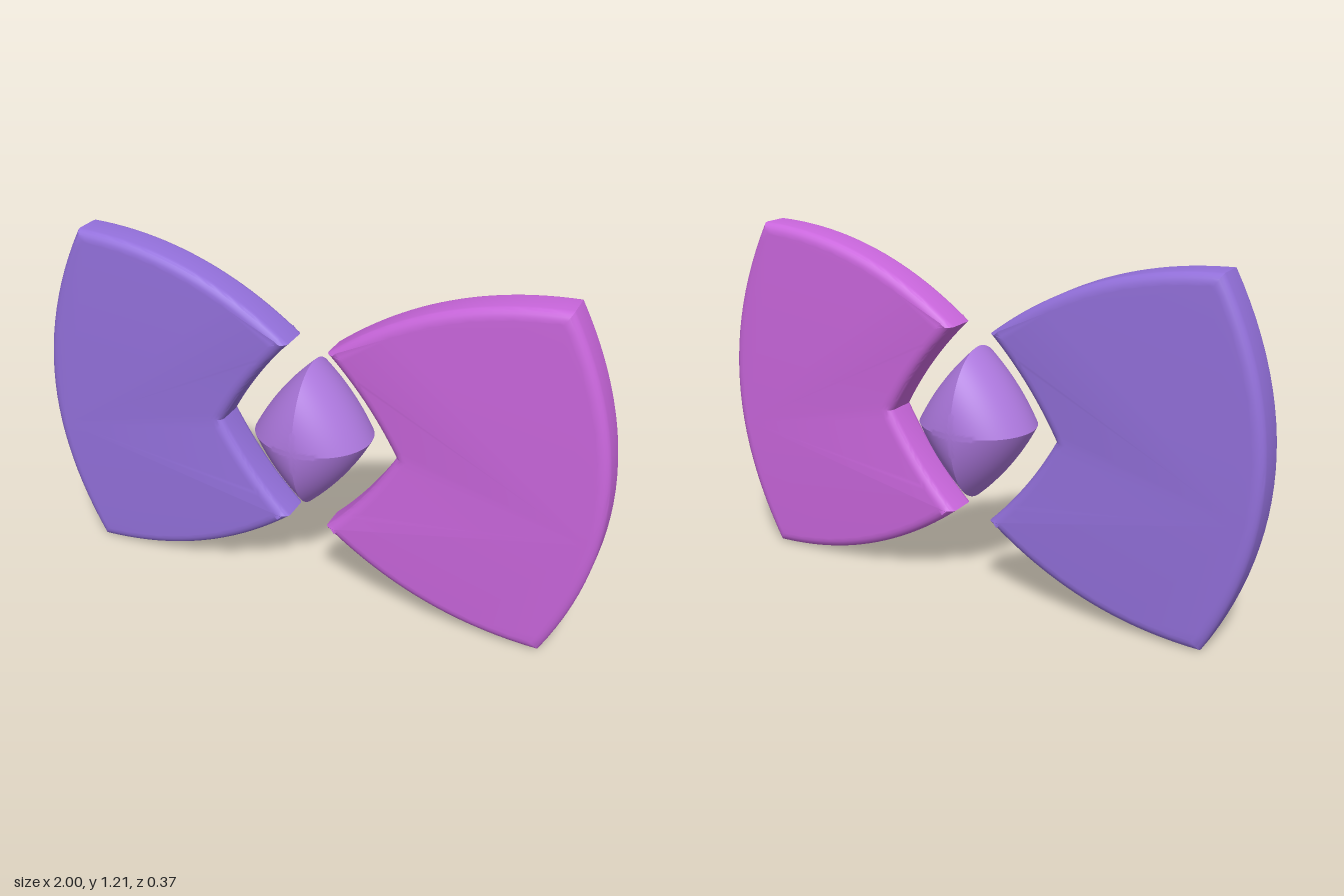
import * as THREE from 'three';
import { toCreasedNormals } from 'three/addons/utils/BufferGeometryUtils.js';

const MID = 0.605; // height of the centre line

function part(name, geometry, color) {
  const mesh = new THREE.Mesh(geometry, new THREE.MeshStandardMaterial({ color }));
  mesh.name = name;
  mesh.position.y = MID;
  return mesh;
}

// Fan-shaped slab with curved edges, a notch towards the knot and rounded rims
function wingGeometry() {
  const s = new THREE.Shape();
  s.moveTo(0.315, 0);
  s.quadraticCurveTo(0.215, -0.185, 0.07, -0.325);
  s.quadraticCurveTo(0.41, -0.595, 0.835, -0.603);
  s.quadraticCurveTo(1.165, 0, 0.835, 0.603);
  s.quadraticCurveTo(0.41, 0.595, 0.07, 0.325);
  s.quadraticCurveTo(0.215, 0.185, 0.315, 0);
  const bevel = 0.03, depth = 0.144;
  const g = new THREE.ExtrudeGeometry(s, {
    depth: depth - 2 * bevel, curveSegments: 24, bevelEnabled: true,
    bevelThickness: bevel, bevelSize: 0.036, bevelOffset: -0.036, bevelSegments: 5,
  });
  g.translate(0, 0, -depth / 2 + bevel);
  return toCreasedNormals(g, 0.6);
}

// Sphere whose round section is replaced by a diamond with bulging sides
function knotGeometry() {
  const g = new THREE.SphereGeometry(1, 64, 40);
  g.rotateX(Math.PI / 2);
  const side = new THREE.QuadraticBezierCurve(
    new THREE.Vector2(0.203, 0), new THREE.Vector2(0.125, 0.15), new THREE.Vector2(0, 0.262));
  const p = g.attributes.position;
  for (let i = 0; i < p.count; i++) {
    const x = p.getX(i), y = p.getY(i), r = Math.hypot(x, y);
    const q = side.getPoint(Math.atan2(Math.abs(y), Math.abs(x)) / (Math.PI / 2));
    p.setXYZ(i, Math.sign(x) * r * q.x, Math.sign(y) * r * q.y, p.getZ(i) * 0.183);
  }
  return toCreasedNormals(g, 0.4);
}

export function createModel() {
  const model = new THREE.Group();
  model.name = 'bow';

  const wing = wingGeometry();
  const leftWing = part('leftWing', wing, 0xc966dc);
  const rightWing = part('rightWing', wing, 0x9370db);
  rightWing.rotation.y = Math.PI;
  for (const w of [leftWing, rightWing]) w.position.z = 0.006;

  model.add(leftWing, rightWing, part('knot', knotGeometry(), 0xad78de));
  return model;
}
